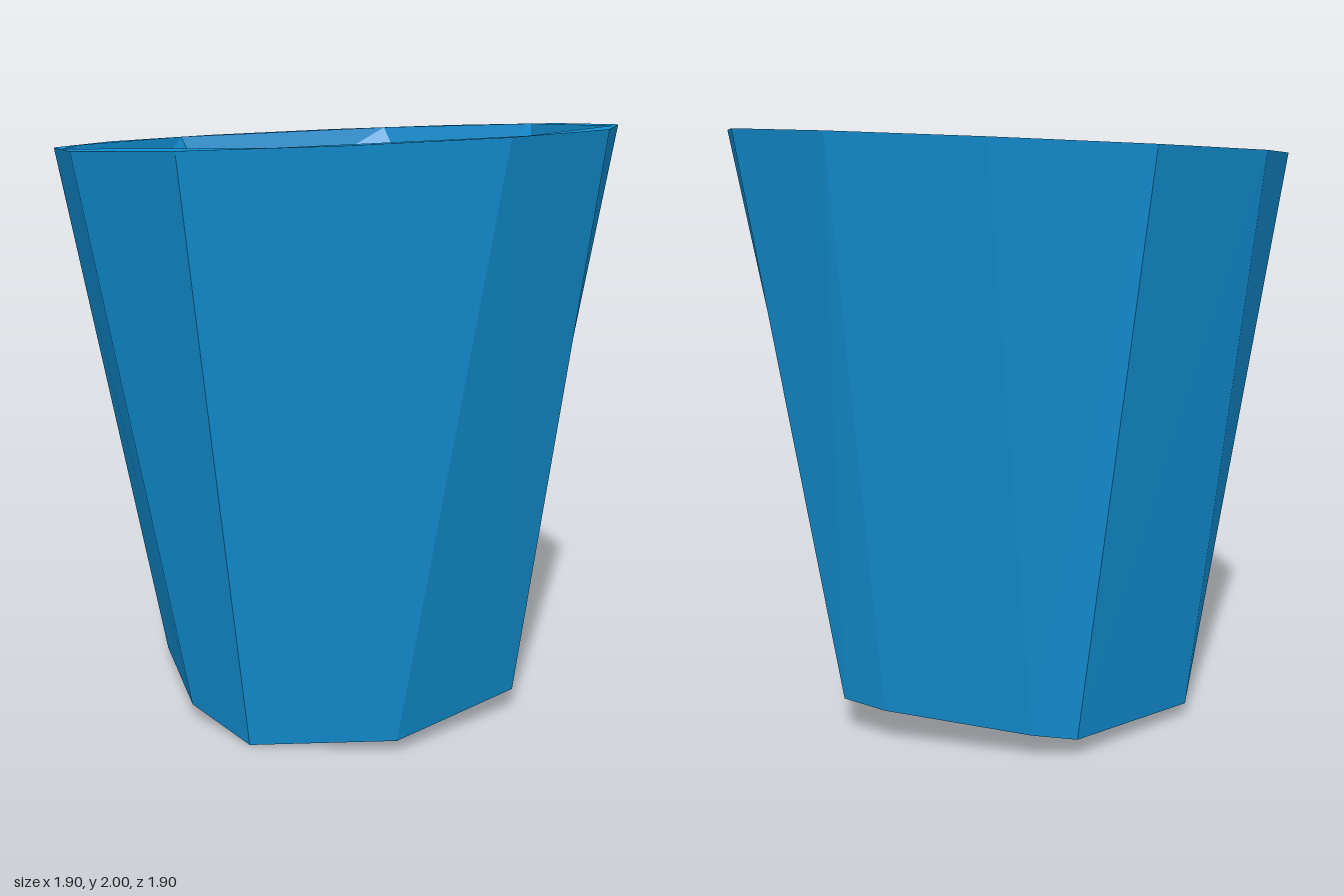
import * as THREE from 'three';

// A ring of corners from flat [x, z] pairs, tilted like the cup's rim
const tilted = (y, pairs, s = 1) => pairs.map(([x, z]) =>
  [x * s, y + 0.037 * x * s + 0.017 * z * s, z * s]);

// Angle around the cup's axis, counted from a common seam
const START = -0.8;
function angle([x, , z]) {
  const a = Math.atan2(z, x);
  return a < START ? a + Math.PI * 2 : a;
}

// Joins two rings of different corner counts with a band of triangles
function band(lower, upper, out) {
  const a = lower.slice().sort((p, q) => angle(p) - angle(q));
  const b = upper.slice().sort((p, q) => angle(p) - angle(q));
  const at = (ring, i) => angle(ring[i % ring.length]) + Math.floor(i / ring.length) * Math.PI * 2;
  const steps = (ring) => (ring.length > 1 ? ring.length : 0);
  let i = 0, j = 0;
  while (i < steps(a) || j < steps(b)) {
    const midA = i < steps(a) ? at(a, i) + at(a, i + 1) : Infinity;
    const midB = j < steps(b) ? at(b, j) + at(b, j + 1) : Infinity;
    const pa = a[i % a.length], pb = b[j % b.length];
    if (midA <= midB) out.push(...pa, ...pb, ...a[++i % a.length]);
    else out.push(...pa, ...pb, ...b[++j % b.length]);
  }
}

export function createModel() {
  const cup = new THREE.Group();
  cup.name = 'cup';
  const material = new THREE.MeshStandardMaterial({ color: 0x1290d4, flatShading: true });

  function addPart(name, rings) {
    const points = [];
    for (let k = 0; k + 1 < rings.length; k++) band(rings[k], rings[k + 1], points);
    const geometry = new THREE.BufferGeometry();
    geometry.setAttribute('position', new THREE.Float32BufferAttribute(points, 3));
    geometry.computeVertexNormals();
    const mesh = new THREE.Mesh(geometry, material);
    mesh.name = name;
    cup.add(mesh);
  }

  // Uneven foot of the cup
  const foot = [
    [0.67, 0.12, -0.03], [0.45, 0.13, 0.42], [0.32, 0.08, 0.58], [-0.22, 0.045, 0.6],
    [-0.56, 0.0, 0.25], [-0.59, 0.05, -0.05], [-0.375, 0.05, -0.56], [0.146, 0.065, -0.64],
    [0.277, 0.085, -0.57], [0.61, 0.12, -0.2],
  ];

  // Regular twelve-sided rim
  const rim = tilted(1.965, Array.from({ length: 12 }, (_, k) => {
    const a = THREE.MathUtils.degToRad(6.6 + 30 * k);
    return [0.956 * Math.cos(a), 0.956 * Math.sin(a)];
  }));

  // Inner edge of the rim
  const lip = tilted(1.965, [[0.94, 0], [0.67, 0.65], [-0.03, 0.94], [-0.7, 0.61],
    [-0.85, -0.38], [-0.65, -0.67], [-0.04, -0.94], [0.71, -0.6]], 0.985);

  // Twisted steps inside: each wall foot is followed by the inner edge of its ledge
  const steps = [
    tilted(1.62, [[0.85, 0.12], [0.58, 0.64], [-0.17, 0.84], [-0.73, 0.47],
      [-0.83, -0.26], [-0.51, -0.7], [0.08, -0.85], [0.75, -0.4]], 0.98),
    tilted(1.6, [[0.77, -0.24], [0.75, 0.28], [0.64, 0.55], [-0.19, 0.79],
      [-0.74, 0.37], [-0.74, -0.39], [-0.25, -0.78], [0.33, -0.69]]),
    tilted(1.17, [[0.61, -0.28], [0.71, 0.27], [0.5, 0.58], [-0.2, 0.74],
      [-0.6, 0.46], [-0.71, -0.22], [-0.36, -0.61], [0.19, -0.61]]),
    tilted(1.15, [[0.42, -0.43], [0.59, 0], [0.6, 0.38], [0.2, 0.68],
      [-0.35, 0.66], [-0.63, 0.29], [-0.61, -0.35], [-0.19, -0.6]]),
    tilted(0.72, [[0.4, -0.39], [0.57, 0.1], [0.42, 0.5], [0.03, 0.65],
      [-0.33, 0.58], [-0.48, 0.42], [-0.54, -0.15], [-0.28, -0.42]]),
    tilted(0.7, [[0.37, -0.37], [0.56, 0.12], [0.4, 0.49], [0.03, 0.64],
      [-0.28, 0.52], [-0.48, 0.2], [-0.43, -0.39]]),
    tilted(0.25, [[0.41, -0.16], [0.4, 0.27], [0.17, 0.45], [-0.21, 0.47],
      [-0.46, 0.21], [-0.35, -0.35], [0.2, -0.33]]),
  ];

  addPart('base', [[[0, 0.066, 0]], foot]);
  addPart('outerWall', [foot, rim]);
  addPart('rim', [rim, lip]);
  addPart('steppedInterior', [lip, ...steps]);
  addPart('floor', [steps[steps.length - 1], [[0, 0.25, 0]]]);
  return cup;
}
